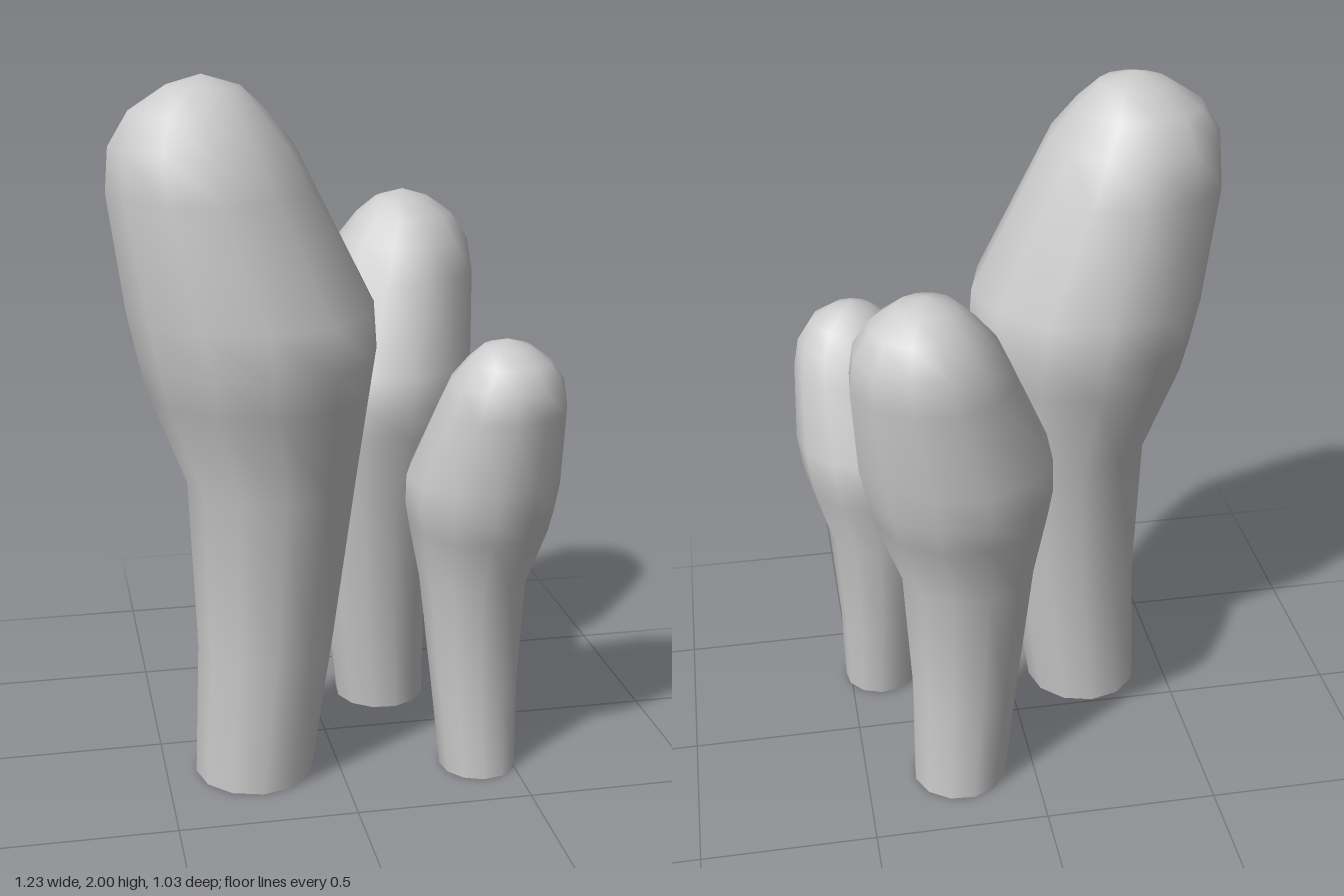
import * as THREE from 'three';
import { mergeVertices } from 'three/addons/utils/BufferGeometryUtils.js';

const SIDES = 12;

// Stalk cross-sections: [height, radius, sideways shift of the centre]
const RINGS = [
  [0, 0.172, 0], [0.4, 0.195, -0.037], [0.89, 0.239, -0.061],
  [1.15, 0.308, -0.03], [1.25, 0.328, -0.025], [1.38, 0.337, -0.007],
  [1.7, 0.278, 0.095], [1.82, 0.243, 0.12], [1.91, 0.178, 0.13],
  [1.97, 0.1, 0.115], [2, 0, 0.117],
];

// Turned body whose rings are shifted so that the head leans to +x
function stalkGeometry() {
  const points = RINGS.map(([y, r]) => new THREE.Vector2(r, y));
  let geo = new THREE.LatheGeometry(points, SIDES);
  const pos = geo.attributes.position;
  for (let i = 0; i < pos.count; i++) {
    pos.setX(i, pos.getX(i) + RINGS[i % RINGS.length][2]);
  }
  // Weld the seam so the shading runs smoothly around
  geo.deleteAttribute('uv');
  geo.deleteAttribute('normal');
  geo = mergeVertices(geo, 1e-4);
  geo.computeVertexNormals();
  return geo;
}

export function createModel() {
  const model = new THREE.Group();
  model.name = 'stalkCluster';
  const material = new THREE.MeshStandardMaterial({ color: 0xcccccc });
  const body = stalkGeometry();
  const base = new THREE.CircleGeometry(RINGS[0][1], SIDES).rotateX(Math.PI / 2);

  // The same stalk at three sizes, each leaning outwards
  const addStalk = (name, x, z, scale, turn) => {
    const stalk = new THREE.Group();
    stalk.name = name;
    const bodyMesh = new THREE.Mesh(body, material);
    bodyMesh.name = 'stalkBody';
    const baseMesh = new THREE.Mesh(base, material);
    baseMesh.name = 'stalkBase';
    stalk.add(bodyMesh, baseMesh);
    stalk.position.set(x, 0, z);
    stalk.rotation.y = turn;
    stalk.scale.setScalar(scale);
    model.add(stalk);
  };
  addStalk('tallStalk', -0.242, 0.18, 1, Math.PI);
  addStalk('middleStalk', 0.222, -0.245, 0.8, 0.71);
  addStalk('shortStalk', 0.403, 0.275, 0.65, -1.13);

  return model;
}
